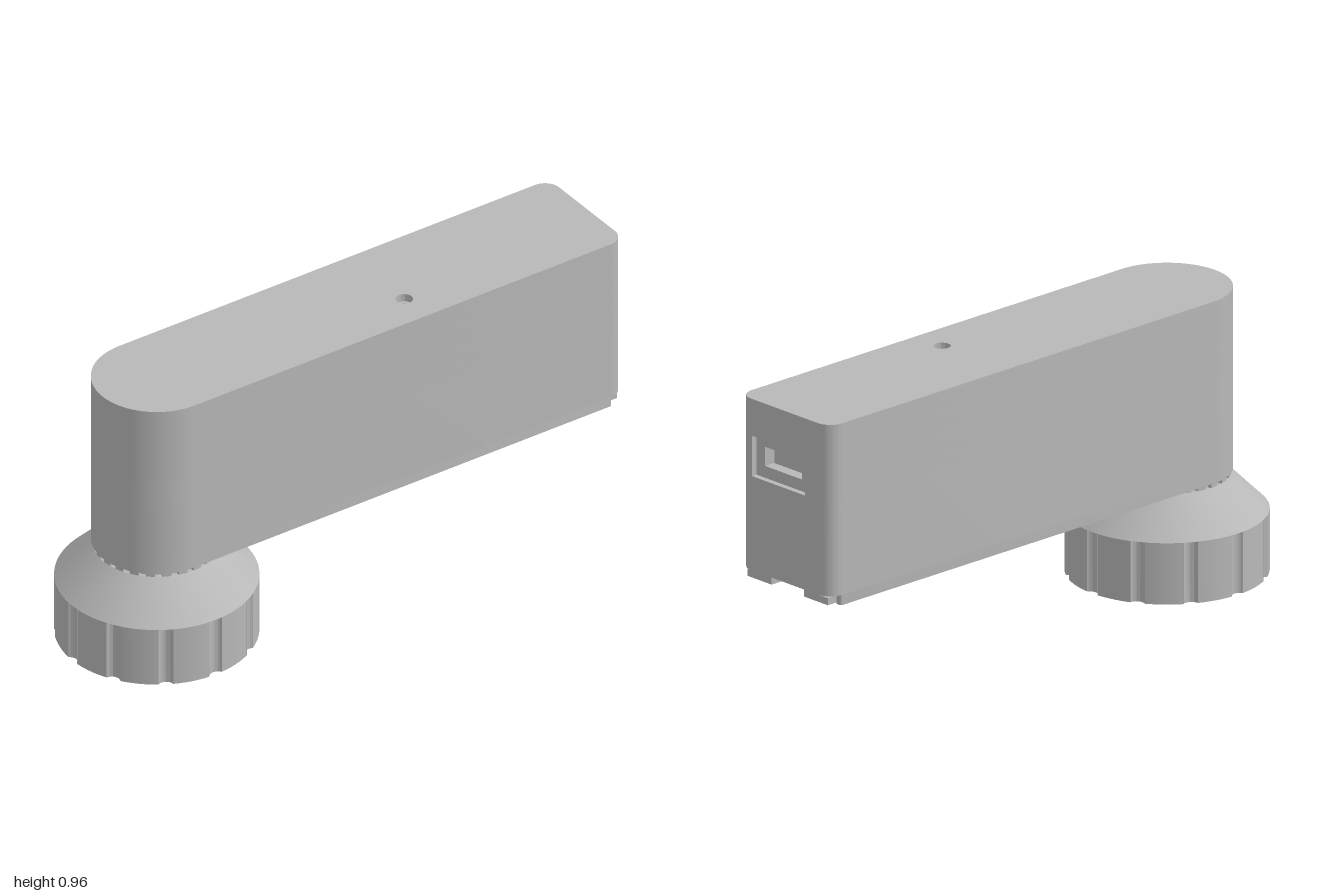
import * as THREE from 'three';
import { toCreasedNormals } from 'three/addons/utils/BufferGeometryUtils.js';

const W = 0.21;       // half width of the housing
const ZC = 0.675;     // z of the knob axis and of the round front end

export function createModel() {
  const model = new THREE.Group();
  const grey = new THREE.MeshStandardMaterial({ color: 0xb8b8b8 });
  grey.name = 'grey plastic';

  const add = (name, geo, parent = model) => {
    const mesh = new THREE.Mesh(toCreasedNormals(geo, 0.5), grey);
    mesh.name = name;
    parent.add(mesh);
    return mesh;
  };

  // Plan shape (shape y = -z) extruded upward from y0 to y1
  const slab = (name, shape, y0, y1, parent) => {
    const geo = new THREE.ExtrudeGeometry(shape, { depth: y1 - y0, bevelEnabled: false, curveSegments: 24 });
    geo.rotateX(-Math.PI / 2).translate(0, y0, 0);
    return add(name, geo, parent);
  };

  // Housing plan: round front, small rear radii, optional rear notch [x0, x1, depth]
  const plan = (notch, rear = 1, r = 0.055) => {
    const s = new THREE.Shape();
    s.moveTo(-W, -ZC);
    s.absarc(0, -ZC, W, Math.PI, 2 * Math.PI, false);
    s.absarc(W - r, rear - r, r, 0, Math.PI / 2, false);
    if (notch) {
      const [x0, x1, d] = notch;
      s.lineTo(x1, rear);
      s.lineTo(x1, rear - d);
      s.lineTo(x0, rear - d);
      s.lineTo(x0, rear);
    }
    s.absarc(-W + r, rear - r, r, Math.PI / 2, Math.PI, false);
    s.closePath();
    return s;
  };
  const withHole = (r) => {
    const s = plan();
    s.holes.push(new THREE.Path().absarc(0.09, 0.225, r, 0, 2 * Math.PI, true));
    return s;
  };

  // Housing, stacked so the rear socket and the top hole are real recesses
  const housing = new THREE.Group();
  housing.name = 'housing';
  model.add(housing);
  const socket = [-0.095, 0.15, 0.02];
  slab('lowerRim', plan([-0.19, 0.19, 1.325], 0.95, 0.008), 0.345, 0.38, housing);
  slab('lowerBody', plan(), 0.38, 0.70, housing);
  slab('socketSill', plan(socket), 0.70, 0.74, housing);
  slab('socketSlot', plan([-0.06, 0.11, 0.06]), 0.74, 0.805, housing).visible = true;
  slab('socketHead', plan(socket), 0.805, 0.837, housing);
  slab('upperBody', plan(), 0.837, 0.90, housing);
  slab('holeSeat', withHole(0.016), 0.90, 0.935, housing);
  slab('topPlate', withHole(0.028), 0.935, 0.962, housing);
  // Widen the slot layer's mouth to match the socket around it
  const slotLayer = housing.getObjectByName('socketSlot');
  const stepped = new THREE.Shape();
  const r = 0.055;
  stepped.moveTo(-W, -ZC);
  stepped.absarc(0, -ZC, W, Math.PI, 2 * Math.PI, false);
  stepped.absarc(W - r, 1 - r, r, 0, Math.PI / 2, false);
  [[0.15, 1], [0.15, 0.98], [0.11, 0.98], [0.11, 0.94], [-0.06, 0.94], [-0.06, 0.98], [-0.095, 0.98], [-0.095, 1]]
    .forEach(([x, y]) => stepped.lineTo(x, y));
  stepped.absarc(-W + r, 1 - r, r, Math.PI / 2, Math.PI, false);
  housing.remove(slotLayer);
  slab('socketSlot', stepped, 0.74, 0.805, housing);

  // Bottom cover with a latch cut-out at the rear
  const cover = new THREE.Shape([
    [-0.186, -0.37], [0.186, -0.37], [0.186, 0.985], [0.075, 0.985],
    [0.075, 0.835], [-0.075, 0.835], [-0.075, 0.985], [-0.186, 0.985],
  ].map(([x, y]) => new THREE.Vector2(x, y)));
  slab('bottomCover', cover, 0.348, 0.372, model);

  // Toothed collar between housing and knob
  const collar = new THREE.Shape();
  const teeth = 24;
  for (let i = 0; i < teeth; i++) {
    [[0, 0.205], [0.55, 0.205], [0.6, 0.192], [0.95, 0.192]].forEach(([f, rad], k) => {
      const a = ((i + f) / teeth) * 2 * Math.PI;
      const x = rad * Math.cos(a), y = rad * Math.sin(a) - ZC;
      if (i + k === 0) collar.moveTo(x, y);
      else collar.lineTo(x, y);
    });
  }
  slab('collar', collar, 0.33, 0.345);

  // Knob grip with twelve shallow grooves
  const R = 0.327, gr = 0.027, off = 0.012;
  const beta = Math.acos(off / gr);
  const grip = new THREE.Shape();
  for (let i = 0; i < 12; i++) {
    const a = (i * Math.PI) / 6;
    grip.absarc((R + off) * Math.cos(a), (R + off) * Math.sin(a) - ZC, gr,
      a + Math.PI + beta, a + Math.PI - beta, true);
    grip.absarc(0, -ZC, R, a + 0.075, a + Math.PI / 6 - 0.075, false);
  }
  slab('knobGrip', grip, 0, 0.208);

  // Knob shoulder
  const shoulder = new THREE.LatheGeometry(
    [[0, 0.208], [R, 0.208], [0.205, 0.33], [0, 0.33]].map(([x, y]) => new THREE.Vector2(x, y)), 72);
  add('knobShoulder', shoulder).position.z = ZC;

  return model;
}
